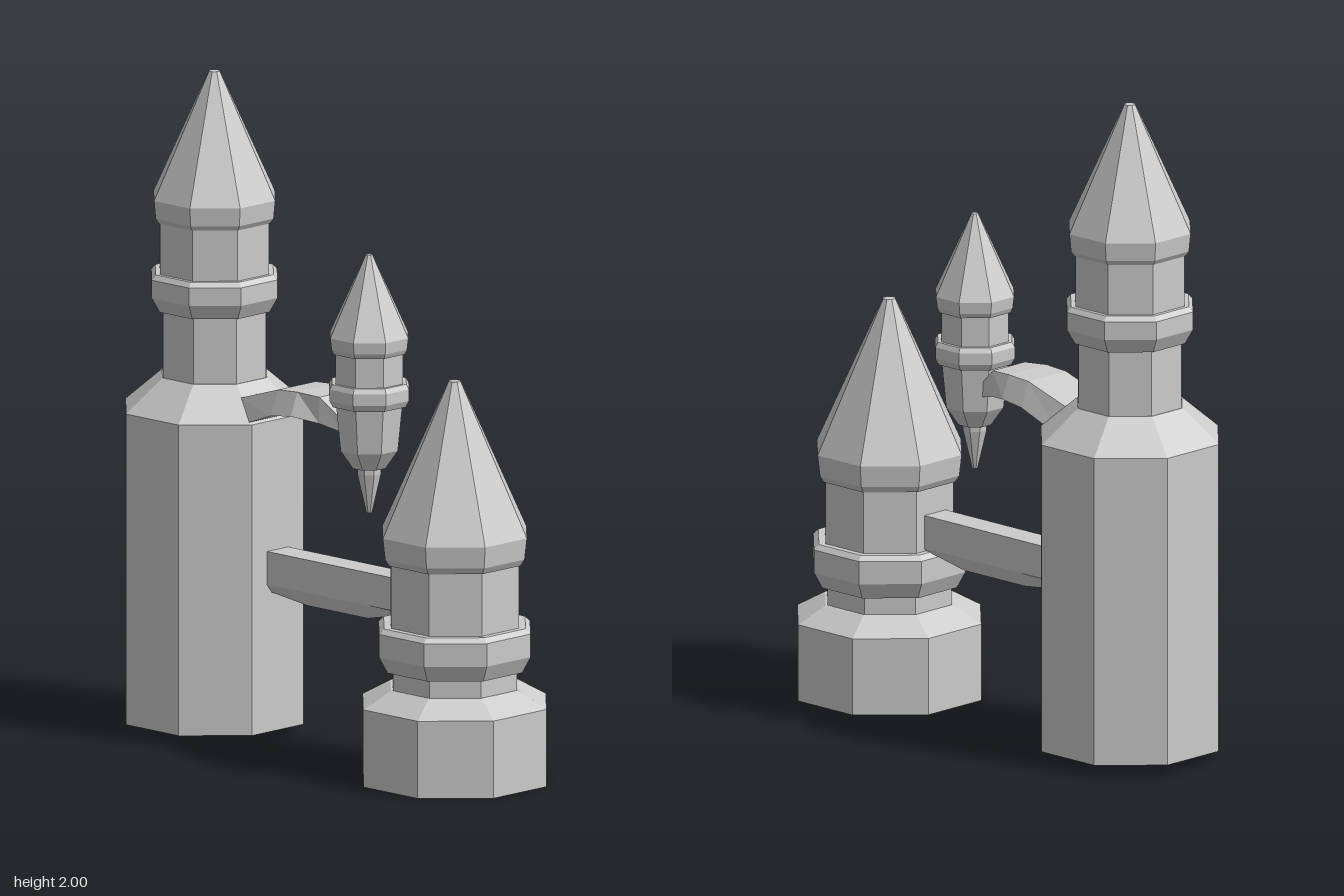
import * as THREE from 'three';

const material = new THREE.MeshStandardMaterial({ color: 0xcccccc, flatShading: true });

// Eight-sided solid with flat faces to the axes; profile is [distance to flat side, y] from bottom to top
function octagonal(name, profile, z) {
  const points = [[0, profile[0][1]], ...profile, [0, profile[profile.length - 1][1]]]
    .map(([a, y]) => new THREE.Vector2(a / Math.cos(Math.PI / 8), y));
  const mesh = new THREE.Mesh(new THREE.LatheGeometry(points, 8, Math.PI / 8), material);
  mesh.name = name;
  mesh.position.z = z;
  return mesh;
}

// Closed beam through cross-sections [z, corners], with z rising and corners counter-clockwise seen from +z
function beam(name, sections) {
  const rings = sections.map(([z, corners]) => corners.map(([x, y]) => [x, y, z]));
  const n = rings[0].length;
  const pos = [];
  const tri = (a, b, c) => pos.push(...a, ...b, ...c);
  for (let i = 0; i < rings.length - 1; i++) {
    for (let j = 0; j < n; j++) {
      const k = (j + 1) % n, a = rings[i], b = rings[i + 1];
      tri(a[j], a[k], b[k]);
      tri(a[j], b[k], b[j]);
    }
  }
  const back = rings[0], front = rings[rings.length - 1];
  for (let j = 1; j < n - 1; j++) {
    tri(back[0], back[j + 1], back[j]);
    tri(front[0], front[j], front[j + 1]);
  }
  const geometry = new THREE.BufferGeometry();
  geometry.setAttribute('position', new THREE.Float32BufferAttribute(pos, 3));
  geometry.computeVertexNormals();
  const mesh = new THREE.Mesh(geometry, material);
  mesh.name = name;
  return mesh;
}

export function createModel() {
  const model = new THREE.Group();
  model.name = 'towers';

  // Tall rear tower
  const rear = new THREE.Group();
  rear.name = 'rearTower';
  rear.add(
    octagonal('rearBody', [[0.263, 0.035], [0.263, 0.98], [0.155, 1.08]], -0.503),
    octagonal('rearTurret', [
      [0.153, 1.06], [0.153, 1.28], [0.163, 1.28], [0.187, 1.325], [0.187, 1.38], [0.175, 1.395],
      [0.162, 1.395], [0.162, 1.55],
    ], -0.503),
    octagonal('rearRoof', [[0.165, 1.55], [0.175, 1.565], [0.18, 1.62], [0.016, 2.0]], -0.503),
  );

  // Short front tower
  const front = new THREE.Group();
  front.name = 'frontTower';
  front.add(
    octagonal('frontBase', [[0.272, 0], [0.272, 0.235], [0.19, 0.285]], 0.495),
    octagonal('frontTurret', [
      [0.184, 0.27], [0.184, 0.34], [0.2, 0.34], [0.225, 0.39], [0.225, 0.46], [0.21, 0.475],
      [0.19, 0.475], [0.19, 0.665],
    ], 0.495),
    octagonal('frontRoof', [[0.195, 0.665], [0.207, 0.685], [0.214, 0.75], [0.018, 1.21]], 0.495),
  );

  // Small hanging turret with a pointed foot
  const hanging = new THREE.Group();
  hanging.name = 'hangingTurret';
  hanging.add(
    octagonal('hangingFoot', [[0.008, 0.755], [0.035, 0.875], [0.035, 0.9]], 0.14),
    octagonal('hangingBody', [
      [0.048, 0.893], [0.085, 0.95], [0.098, 1.085], [0.108, 1.085], [0.118, 1.105], [0.118, 1.14],
      [0.11, 1.155], [0.1, 1.155], [0.1, 1.245],
    ], 0.14),
    octagonal('hangingRoof', [[0.105, 1.245], [0.112, 1.26], [0.116, 1.295], [0.01, 1.54]], 0.14),
  );

  // Lower bridge with a bevelled, bowed underside: [z, bottom y]
  const bridge = beam('lowerBridge', [[-0.26, 0.46], [-0.09, 0.44], [0.16, 0.44], [0.33, 0.478]]
    .map(([z, y]) => [z, [[-0.025, y], [0.025, y], [0.045, 0.485], [0.045, 0.585], [-0.045, 0.585], [-0.045, 0.485]]]));

  // Arched arm carrying the hanging turret: [z, bottom y, top y, bottom half width, top half width]
  const arm = beam('upperArm', [
    [-0.32, 0.96, 1.045, 0.11, 0.08],
    [-0.16, 1.02, 1.095, 0.11, 0.08],
    [-0.08, 1.03, 1.1, 0.108, 0.08],
    [0, 1.015, 1.095, 0.07, 0.068],
    [0.07, 0.995, 1.035, 0.045, 0.045],
  ].map(([z, b, t, wb, wt]) => [z, [[-wb, b], [wb, b], [wt, t], [-wt, t]]]));

  model.add(rear, front, hanging, bridge, arm);
  return model;
}
